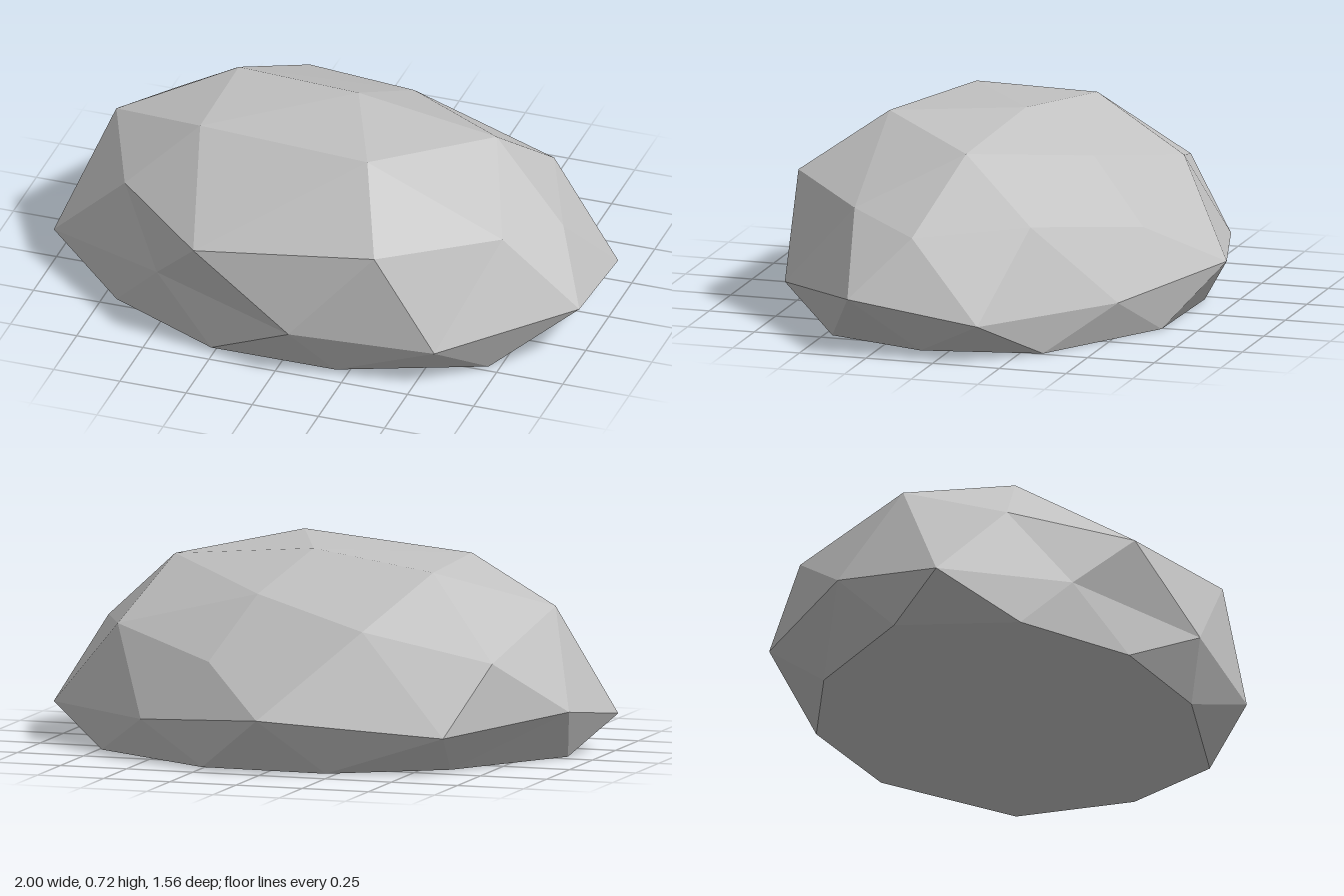
import * as THREE from 'three';

// Rings of the boulder, each running from +x round towards +z: [x, y, z]
const peak = [0.04, 0.72, -0.04];
const crown = [
  [0.58, 0.67, 0.01], [0.23, 0.72, 0.41], [-0.44, 0.68, 0.30], [-0.45, 0.67, -0.15], [0.15, 0.59, -0.33],
];
const shoulder = [
  [0.87, 0.42, 0.12], [0.73, 0.48, 0.38], [0.36, 0.51, 0.71], [-0.32, 0.42, 0.72], [-0.69, 0.45, 0.40],
  [-0.84, 0.54, 0.06], [-0.76, 0.39, -0.40], [-0.31, 0.50, -0.52], [0.26, 0.37, -0.55], [0.70, 0.45, -0.27],
];
const girdle = [
  [1.0, 0.21, 0.32], [0.58, 0.15, 0.69], [0.06, 0.18, 0.78], [-0.51, 0.21, 0.57], [-1.0, 0.13, 0.28],
  [-0.96, 0.19, -0.14], [-0.64, 0.14, -0.59], [0, 0.2, -0.78], [0.52, 0.15, -0.54], [0.98, 0.14, -0.16],
];
const foot = [
  [0.83, 0, 0.10], [0.71, 0, 0.47], [0.20, 0, 0.67], [-0.27, 0, 0.67], [-0.70, 0, 0.46],
  [-0.89, 0, 0.05], [-0.60, 0, -0.39], [-0.21, 0, -0.63], [0.26, 0, -0.62], [0.74, 0, -0.33],
];

const at = (ring, i) => ring[(i + ring.length) % ring.length];

// Unshared corners give every facet its own flat normal
function facets(name, triangles, material) {
  const geometry = new THREE.BufferGeometry();
  geometry.setAttribute('position', new THREE.Float32BufferAttribute(triangles.flat(2), 3));
  geometry.computeVertexNormals();
  const mesh = new THREE.Mesh(geometry, material);
  mesh.name = name;
  return mesh;
}

export function createModel() {
  const stone = new THREE.MeshStandardMaterial({ color: 0xc2c2c2 });
  stone.name = 'light grey stone';

  const top = [], sides = [], base = [];

  // Top: a five-sided cap widening to the ten-sided shoulder
  for (let i = 0; i < 5; i++) {
    const a = crown[i], b = at(crown, i + 1), k = 2 * i;
    top.push(
      [peak, b, a],
      [a, b, at(shoulder, k + 1)],
      [a, at(shoulder, k + 1), at(shoulder, k)],
      [a, at(shoulder, k), at(shoulder, k - 1)],
    );
  }

  // Sides: two zigzag bands, with the flat underside closed by a fan
  for (let k = 0; k < 10; k++) {
    sides.push(
      [shoulder[k], at(shoulder, k + 1), girdle[k]],
      [shoulder[k], girdle[k], at(girdle, k - 1)],
      [at(girdle, k - 1), girdle[k], foot[k]],
      [girdle[k], at(foot, k + 1), foot[k]],
    );
    base.push([[0, 0, 0], foot[k], at(foot, k + 1)]);
  }

  const boulder = new THREE.Group();
  boulder.name = 'boulder';
  boulder.add(
    facets('boulderTop', top, stone),
    facets('boulderSides', sides, stone),
    facets('boulderBase', base, stone),
  );
  return boulder;
}
